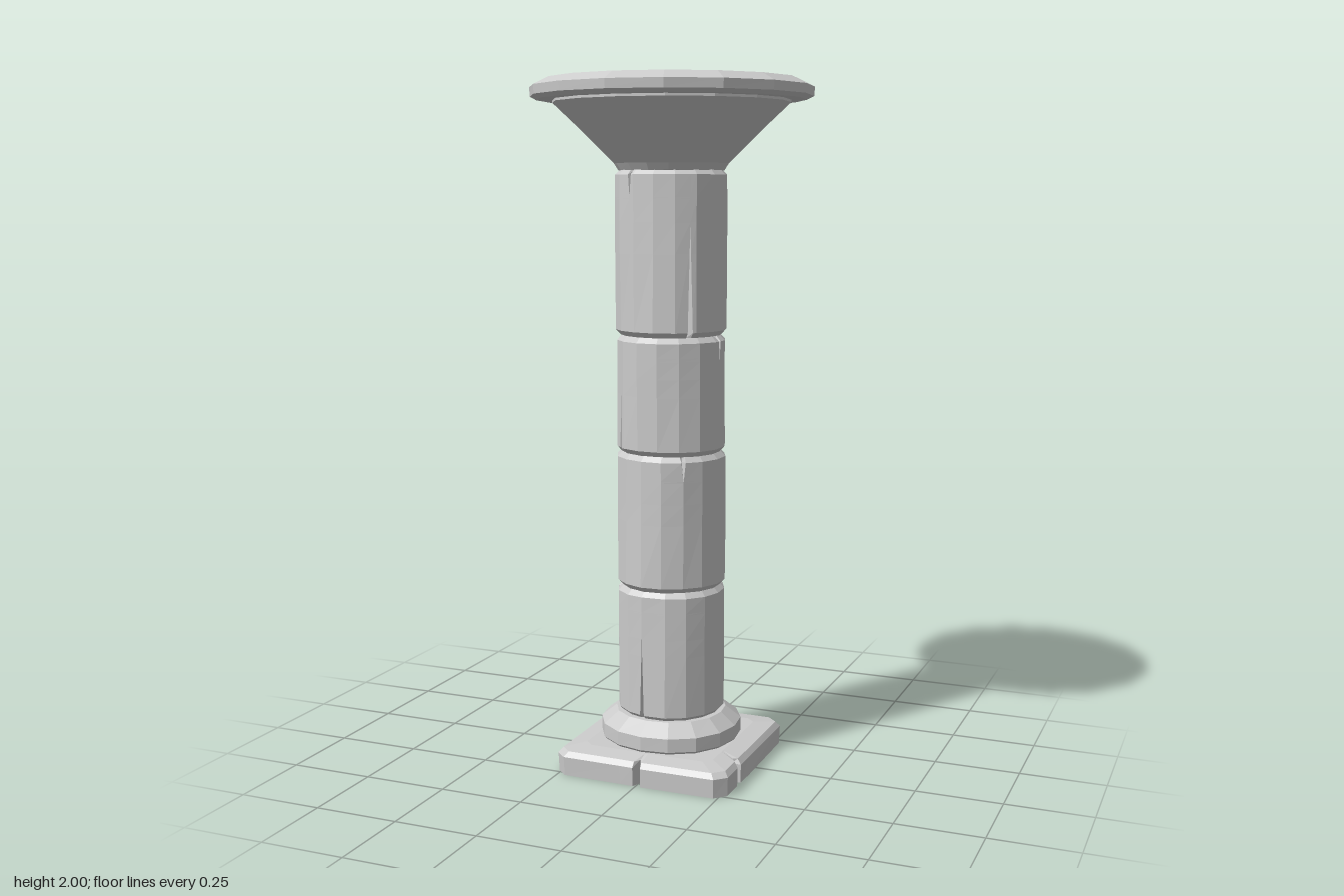
import * as THREE from 'three';

const TAU = Math.PI * 2;
const rad = (deg) => THREE.MathUtils.degToRad(deg);
const stone = new THREE.MeshStandardMaterial({ color: 0xcccccc, flatShading: true });
const openStone = new THREE.MeshStandardMaterial({ color: 0xcccccc, flatShading: true, side: THREE.DoubleSide });

// Unit outline of a regular polygon: corner angles and radius at any angle
function polygon(n, offset) {
  const step = TAU / n;
  return {
    angles: Array.from({ length: n }, (_, i) => offset + i * step),
    radius: (a) => {
      const local = ((((a - offset) % step) + step) % step) - step / 2;
      return Math.cos(step / 2) / Math.cos(local);
    },
  };
}

// Unit outline of a square with cut corners
function cutSquare(cut) {
  const c = Math.atan(1 - cut);
  const angles = [];
  for (let i = 0; i < 4; i++) angles.push(i * TAU / 4 + c, (i + 1) * TAU / 4 - c, i * TAU / 4 + 0.2);
  return {
    angles,
    radius: (a) => {
      const x = Math.abs(Math.cos(a)), z = Math.abs(Math.sin(a));
      return Math.min(1 / Math.max(x, z), (2 - cut) / (x + z));
    },
  };
}

// Stone block lofted through rings [y, r] from bottom to top.
// A crack { a, w, floor, from, to } is a V groove, widest at height "from", closing at "to".
function block(name, outline, rings, { cracks = [], wear = 0, seed = 0, material = stone } = {}) {
  const gap = (a, b) => Math.abs(Math.atan2(Math.sin(a - b), Math.cos(a - b)));
  const columns = outline.angles
    .filter((a) => cracks.every((c) => gap(a, c.a) > c.w + 0.03))
    .map((a) => ({ a }));
  for (const crack of cracks) {
    for (const side of [-1, 0, 1]) columns.push({ a: crack.a, side, crack });
  }
  const norm = (a) => ((a % TAU) + TAU) % TAU;
  const key = (c) => norm(c.a + (c.crack ? c.side * c.crack.w : 0));
  columns.sort((p, q) => key(p) - key(q));

  const point = ([y, r], { a, side, crack }) => {
    let t = 0;
    if (crack) {
      t = THREE.MathUtils.clamp((crack.to - y) / (crack.to - crack.from), 0, 1);
      a += side * crack.w * t;
    }
    let d = r * outline.radius(a);
    if (r > 0) d += wear * Math.sin(3 * a + seed) * Math.cos(6 * y + a + seed);
    if (crack && side === 0) d += (Math.min(d, crack.floor) - d) * t;
    return [d * Math.cos(a), y, d * Math.sin(a)];
  };

  const pos = [], index = [], n = columns.length;
  for (const ring of rings) for (const c of columns) pos.push(...point(ring, c));
  for (let j = 0; j < rings.length - 1; j++) {
    for (let i = 0; i < n; i++) {
      const p = j * n + i, q = j * n + (i + 1) % n;
      index.push(p, p + n, q, q, p + n, q + n);
    }
  }
  const g = new THREE.BufferGeometry();
  g.setAttribute('position', new THREE.Float32BufferAttribute(pos, 3));
  g.setIndex(index);
  g.computeVertexNormals();
  const mesh = new THREE.Mesh(g, material);
  mesh.name = name;
  return mesh;
}

// Shaft drum with bevelled ends; each crack is [angle in degrees, tip height, starts at the top?]
function drum(name, y0, y1, r, crackList, seed) {
  const cracks = crackList.map(([deg, tip, top]) => ({
    a: rad(deg), w: 0.05, floor: 0.128, from: top ? y1 : y0, to: tip,
  }));
  const heights = [y0 + 0.015, (y0 + y1) / 2, y1 - 0.015, ...cracks.map((c) => c.to)].sort((a, b) => a - b);
  const rings = [[y0, 0], [y0, r - 0.014], ...heights.map((y) => [y, r]), [y1, r - 0.014], [y1, 0]];
  return block(name, polygon(16, rad(3 + seed * 4)), rings, { cracks, wear: 0.003, seed });
}

export function createModel() {
  const model = new THREE.Group();
  model.name = 'stoneColumn';

  // Hollow square plinth with two split edges
  const plinth = block('plinth', cutSquare(0.12),
    [[0, 0.265], [0.055, 0.267], [0.07, 0.255], [0.078, 0.2], [0.078, 0]], {
      cracks: [
        { a: rad(90), w: 0.045, floor: 0.235, from: 0, to: 9 },
        { a: rad(27.5), w: 0.04, floor: 0.27, from: 0, to: 9 },
      ],
      wear: 0.004, seed: 1, material: openStone,
    });
  plinth.position.set(0.004, 0, 0.006);

  // Round foot
  const foot = block('foot', polygon(16, rad(3)),
    [[0.07, 0], [0.07, 0.195], [0.085, 0.21], [0.125, 0.21], [0.16, 0.165], [0.16, 0]],
    { cracks: [{ a: rad(200), w: 0.04, floor: 0.185, from: 0, to: 0.16 }], wear: 0.003, seed: 2 });

  // Shaft of four drums
  const shaft = new THREE.Group();
  shaft.name = 'shaft';
  shaft.add(
    drum('lowestDrum', 0.155, 0.54, 0.158, [[101, 0.4, false], [-32, 0.475, true], [158, 0.48, true]], 1),
    drum('lowerDrum', 0.54, 0.938, 0.159, [[55, 0.865, true], [251, 0.87, true], [180, 0.8, false]], 2),
    drum('upperDrum', 0.938, 1.277, 0.16, [[135, 1.16, false], [6, 1.21, true], [195, 1.22, true]], 3),
    drum('highestDrum', 1.277, 1.748, 0.16, [[48, 1.6, false], [115, 1.67, true], [262, 1.665, true]], 4),
  );

  // Flared capital
  const capital = block('capital', polygon(16, rad(3)),
    [[1.745, 0], [1.745, 0.15], [1.765, 0.163], [1.87, 0.27], [1.935, 0.34], [1.95, 0.34], [1.95, 0]],
    { wear: 0.002, seed: 3 });

  // Round top slab with a chamfered, notched rim
  const slab = block('topSlab', polygon(16, rad(3)),
    [[1.942, 0], [1.942, 0.385], [1.952, 0.404], [1.978, 0.406], [2, 0.362], [2, 0]],
    { cracks: [{ a: rad(183.3), w: 0.033, floor: 0.352, from: 0, to: 99 }], wear: 0.002, seed: 1 });

  model.add(plinth, foot, shaft, capital, slab);
  return model;
}
